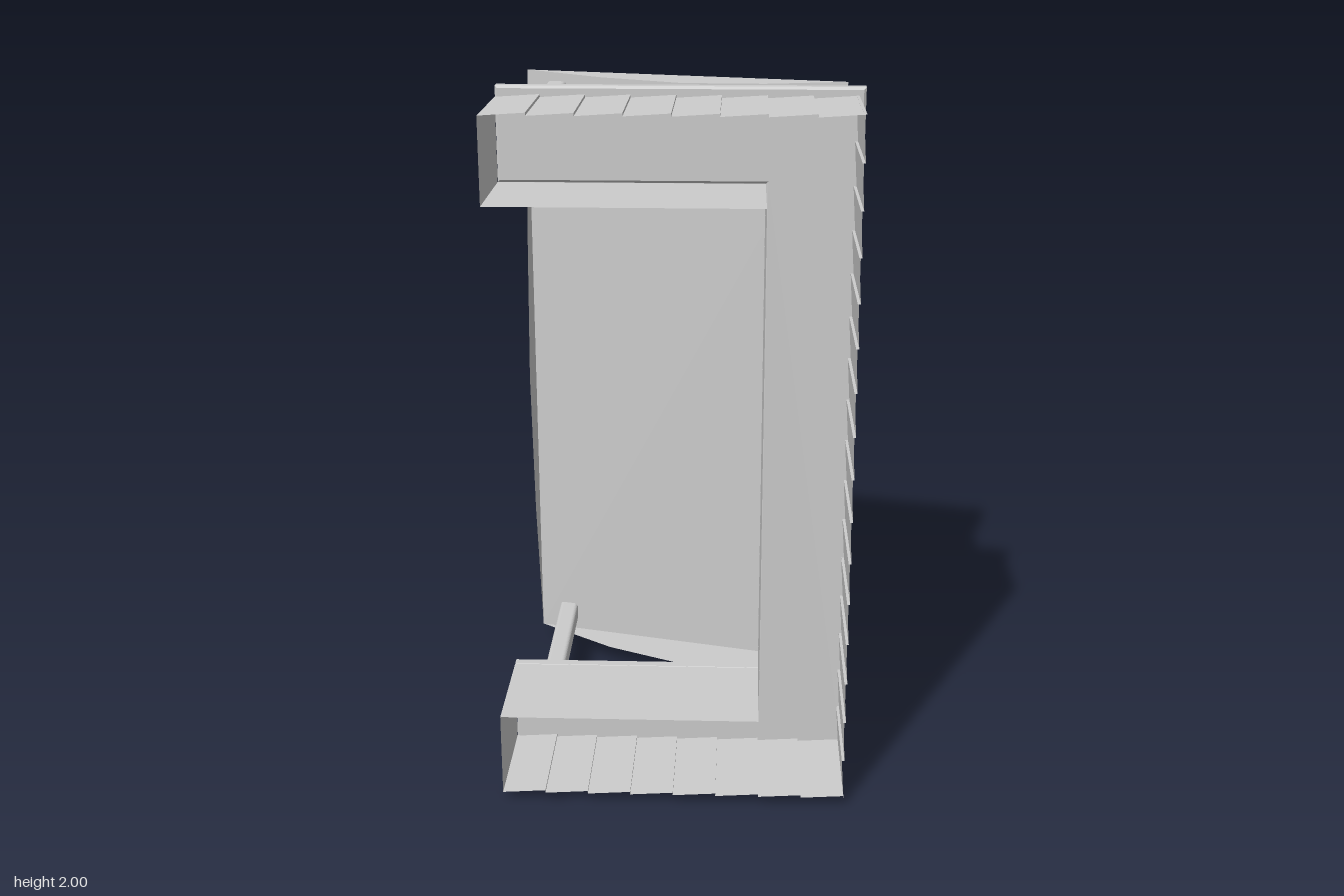
import * as THREE from 'three';

const flat = new THREE.MeshStandardMaterial({ color: 0xcccccc, flatShading: true, side: THREE.DoubleSide });

// Slanted plane on which the awning lies
const roofZ = (x) => -0.505 + 0.24 * (x + 0.5) / 0.975;
const X0 = -0.5, X1 = 0.475, Y0 = 0.06, Y1 = 1.95;

function add(parent, geometry, name) {
  const mesh = new THREE.Mesh(geometry, flat);
  mesh.name = name;
  parent.add(mesh);
}

// Ruled surface between two rows of points
function strip(a, b) {
  const pos = [];
  const tri = (p, q, r) => {
    if (p.equals(q) || q.equals(r) || p.equals(r)) return;
    pos.push(...p.toArray(), ...q.toArray(), ...r.toArray());
  };
  for (let i = 0; i < a.length - 1; i++) {
    tri(a[i], a[i + 1], b[i + 1]);
    tri(a[i], b[i + 1], b[i]);
  }
  const g = new THREE.BufferGeometry();
  g.setAttribute('position', new THREE.Float32BufferAttribute(pos, 3));
  g.computeVertexNormals();
  return g;
}

// Row of overlapping boards between two corners, stepping inwards by (nx, ny)
function boards(x0, y0, x1, y1, count, nx, ny) {
  const pts = [];
  for (let i = 0; i < count; i++) {
    for (const [t, d] of [[i / count, 0], [(i + 1) / count, 0.008]]) {
      pts.push([x0 + (x1 - x0) * t + nx * d, y0 + (y1 - y0) * t + ny * d]);
    }
  }
  return pts;
}

// Hanging cloth along one awning edge, in a number of scallops
function valance(x0, y0, x1, y1, scallops) {
  const drop = [0, 0.11, 0.162, 0.11];
  const top = [], hem = [], n = scallops * 4;
  for (let i = 0; i <= n; i++) {
    const x = x0 + (x1 - x0) * i / n, y = y0 + (y1 - y0) * i / n;
    top.push(new THREE.Vector3(x, y, roofZ(x)));
    hem.push(new THREE.Vector3(x, y, roofZ(x) + drop[i % 4]));
  }
  return strip(top, hem);
}

// Square post outline with rounded corners
function postShape(h, r) {
  const s = new THREE.Shape();
  s.absarc(h - r, h - r, r, 0, Math.PI / 2);
  s.absarc(r - h, h - r, r, Math.PI / 2, Math.PI);
  s.absarc(r - h, r - h, r, Math.PI, Math.PI * 1.5);
  s.absarc(h - r, r - h, r, Math.PI * 1.5, Math.PI * 2);
  return s;
}

export function createModel() {
  const model = new THREE.Group();
  model.name = 'marketStall';

  // Hollow U-shaped counter: boarded outside, plain inside, open at the front
  const outline = [
    ...boards(-0.5, 0.027, 0.478, 0.027, 8, 0, 1),
    ...boards(0.478, 0.027, 0.478, 1.978, 16, -1, 0),
    ...boards(0.478, 1.978, -0.5, 1.978, 8, 0, -1),
    [-0.5, 1.738], [0.232, 1.738], [0.232, 0.27], [-0.5, 0.27], [-0.5, 0.027],
  ];
  const row = (z) => outline.map(([x, y]) => new THREE.Vector3(x, y, z));
  add(model, strip(row(0.2), row(0.525)), 'counterWalls');

  // Countertop
  const b = 0.007;
  const top = new THREE.Shape([
    [-0.5 + b, b], [0.497 - b, b], [0.497 - b, 2 - b], [-0.5 + b, 2 - b],
    [-0.5 + b, 1.738 + b], [0.232 + b, 1.738 + b], [0.232 + b, 0.27 - b], [-0.5 + b, 0.27 - b],
  ].map(([x, y]) => new THREE.Vector2(x, y)));
  const topGeo = new THREE.ExtrudeGeometry(top, {
    depth: 0.041 - 2 * b, bevelSize: b, bevelThickness: b, bevelSegments: 1,
  });
  topGeo.translate(0, 0, 0.163 + b);
  add(model, topGeo, 'countertop');

  // Four posts, cut to the slant of the awning
  for (const x of [-0.407, 0.381]) {
    for (const y of [0.122, 1.888]) {
      const g = new THREE.ExtrudeGeometry(postShape(0.03, 0.012), { depth: 1, bevelEnabled: false, curveSegments: 3 });
      g.translate(x, y, 0);
      const p = g.attributes.position;
      for (let i = 0; i < p.count; i++) p.setZ(i, p.getZ(i) > 0.5 ? 0.17 : roofZ(p.getX(i)) - 0.005);
      g.computeVertexNormals();
      add(model, g, 'post');
    }
  }

  // Awning panel: rounded rim rings closed by two flat faces
  const awning = new THREE.Group();
  awning.name = 'awning';
  model.add(awning);
  const ring = (inset, h) => [[X0, Y0, 1, 1], [X1, Y0, -1, 1], [X1, Y1, -1, -1], [X0, Y1, 1, -1], [X0, Y0, 1, 1]]
    .map(([x, y, sx, sy]) => new THREE.Vector3(x + sx * inset, y + sy * inset, roofZ(x + sx * inset) - h));
  const rim = [[0, 0], [0.002, 0.01], [0.008, 0.017], [0.02, 0.021]].map(([i, h]) => ring(i, h));
  for (let i = 0; i < 3; i++) add(awning, strip(rim[i + 1], rim[i]), 'awningRim');
  const sheet = (r, flip) => (flip ? strip([r[3], r[2]], [r[0], r[1]]) : strip([r[0], r[1]], [r[3], r[2]]));
  add(awning, sheet(rim[0], false), 'awningUnderside');
  add(awning, sheet(rim[3], true), 'awningTop');

  // Scalloped cloth on all four edges
  add(awning, valance(X0, Y0, X1, Y0, 1), 'sideValance');
  add(awning, valance(X0, Y1, X1, Y1, 1), 'sideValance');
  add(awning, valance(X1, Y0, X1, Y1, 2), 'frontValance');
  add(awning, valance(X0, Y0, X0, Y1, 1), 'rearValance');

  return model;
}
